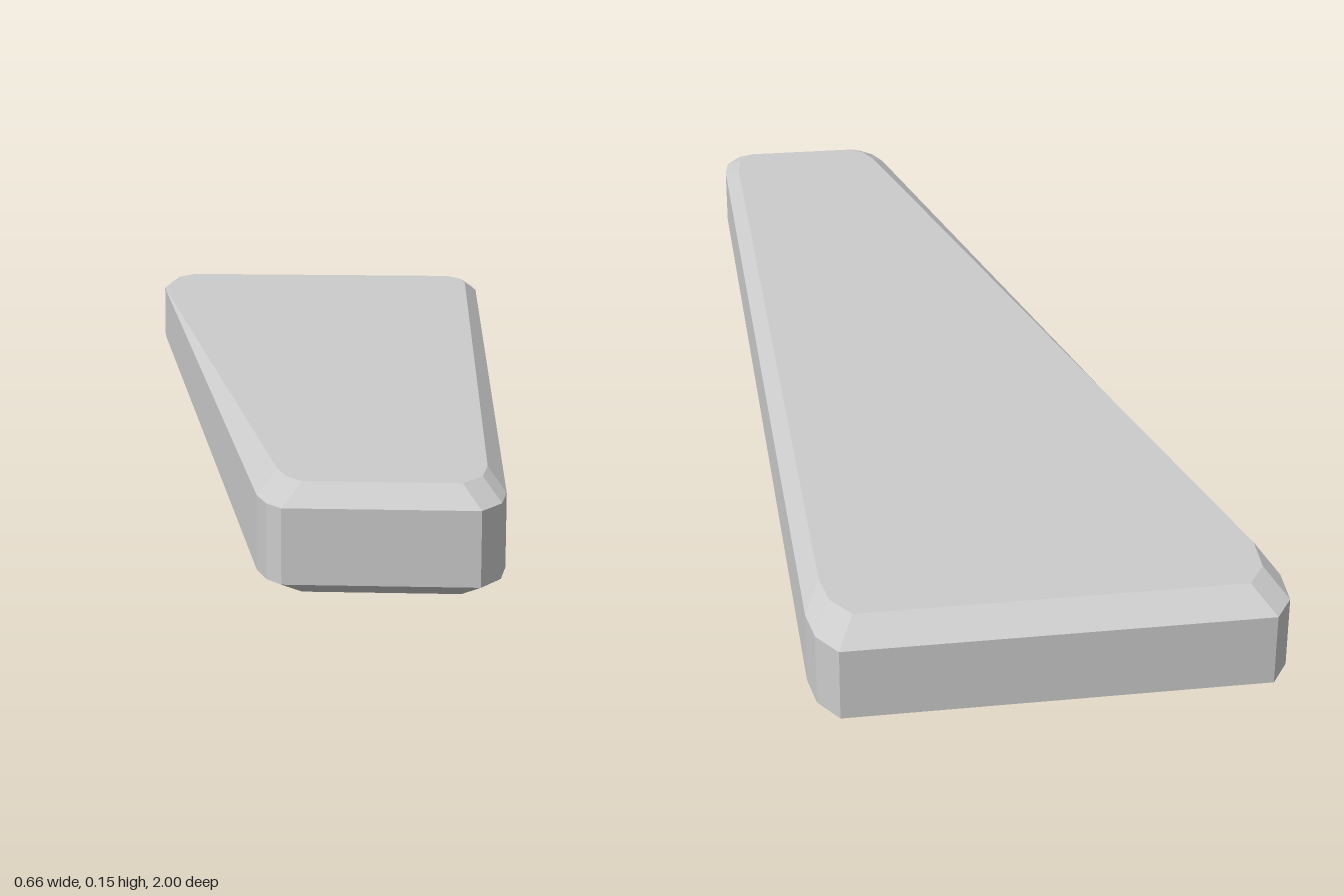
import * as THREE from 'three';

// Half-plan: [x, z, side in x, side in z], clockwise seen from above
const OUTLINE = [
  [0.33, 0.9, 1, 1], [0.322, 0.957, 1, 1], [0.295, 1, 1, 1],
  [0.037, 1, -1, 1], [0.016, 0.975, -1, 1], [0, 0.93, -1, 1],
  [-0.33, -0.89, -1, -1], [-0.324, -0.957, -1, -1], [-0.295, -1, -1, -1],
  [0.295, -1, 1, -1], [0.322, -0.957, 1, -1], [0.33, -0.9, 1, -1],
];

// Levels from bottom to top: [y, inset in x, inset in z]
const LEVELS = [
  [0, 0.024, 0.055], [0.025, 0, 0], [0.127, 0, 0], [0.15, 0.024, 0.055],
];

function bevelledSlab() {
  const n = OUTLINE.length;
  const positions = [];
  const index = [];
  for (const [y, dx, dz] of LEVELS) {
    for (const [x, z, sx, sz] of OUTLINE) positions.push(x - sx * dx, y, z - sz * dz);
  }
  // Walls and bevels between neighbouring levels
  for (let l = 0; l < LEVELS.length - 1; l++) {
    for (let i = 0; i < n; i++) {
      const j = (i + 1) % n;
      const a = l * n, b = a + n;
      index.push(a + j, a + i, b + i, a + j, b + i, b + j);
    }
  }
  // Flat bottom and top
  const top = (LEVELS.length - 1) * n;
  for (let i = 1; i < n - 1; i++) {
    index.push(0, i, i + 1);
    index.push(top, top + i + 1, top + i);
  }
  const indexed = new THREE.BufferGeometry();
  indexed.setAttribute('position', new THREE.Float32BufferAttribute(positions, 3));
  indexed.setIndex(index);
  const geometry = indexed.toNonIndexed();
  geometry.computeVertexNormals();
  return geometry;
}

export function createModel() {
  const group = new THREE.Group();
  group.name = 'taperedPlank';
  const material = new THREE.MeshStandardMaterial({ color: 0xcccccc, flatShading: true });
  const slab = new THREE.Mesh(bevelledSlab(), material);
  slab.name = 'bevelledSlab';
  group.add(slab);
  return group;
}
